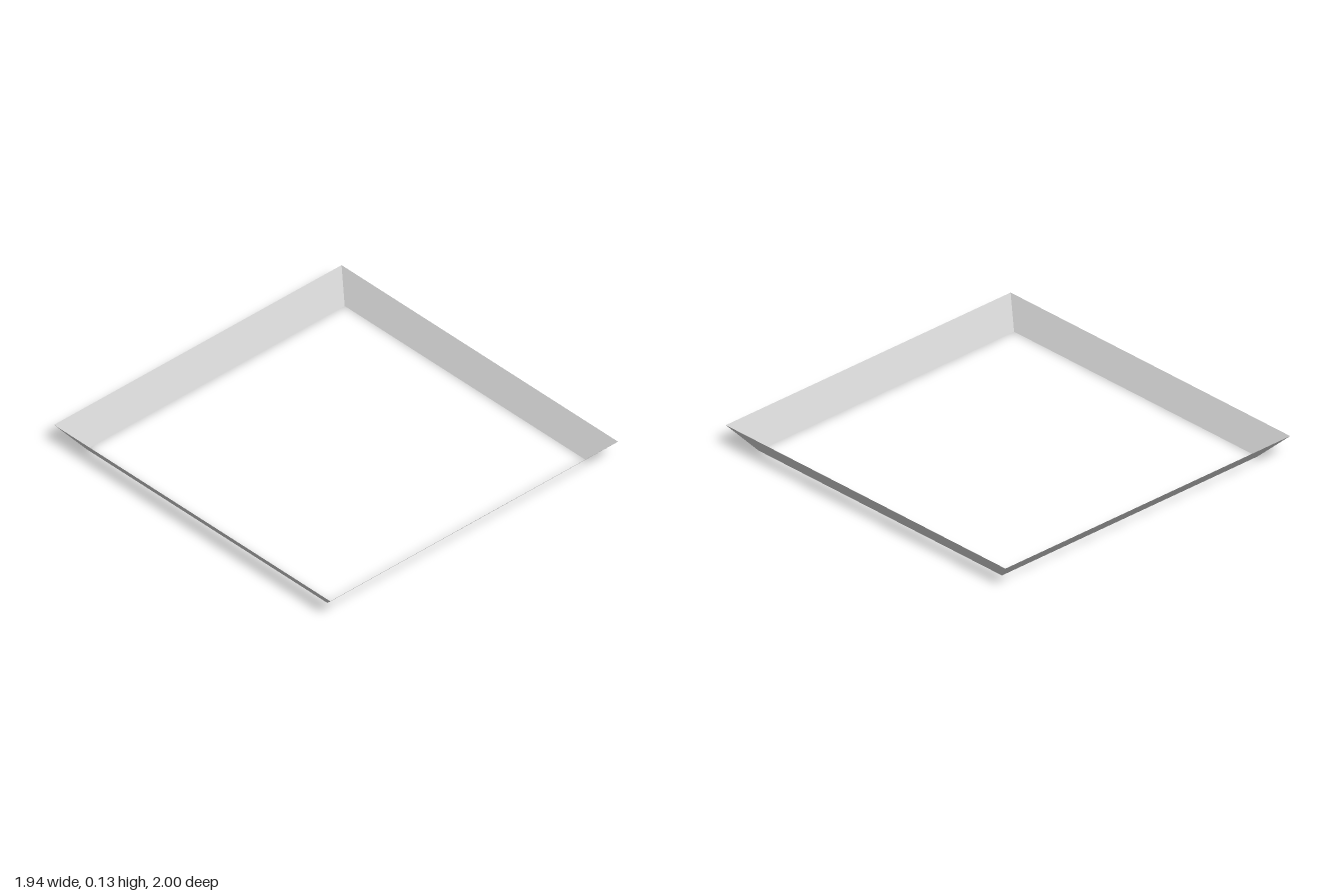
import * as THREE from 'three';

const HEIGHT = 0.13;
const TOP = { x: 0.97, z: 1 };        // half sizes of the upper rim
const BOTTOM = { x: 0.87, z: 0.87 };  // half sizes of the lower rim

// Open four-sided ring whose corners are moved out to the two rims
function slopedRing() {
  const ring = new THREE.CylinderGeometry(1, 1, HEIGHT, 4, 1, true, Math.PI / 4);
  ring.translate(0, HEIGHT / 2, 0);
  const geometry = ring.toNonIndexed();
  const p = geometry.attributes.position;
  for (let i = 0; i < p.count; i++) {
    const rim = p.getY(i) > HEIGHT / 2 ? TOP : BOTTOM;
    p.setX(i, Math.sign(p.getX(i)) * rim.x);
    p.setZ(i, Math.sign(p.getZ(i)) * rim.z);
  }
  geometry.computeVertexNormals();
  return geometry;
}

export function createModel() {
  const group = new THREE.Group();
  group.name = 'slopedFrame';

  // Thin walls leaning outwards, open above and below
  const walls = new THREE.Mesh(
    slopedRing(),
    new THREE.MeshStandardMaterial({ color: 0xcccccc, flatShading: true, side: THREE.DoubleSide })
  );
  walls.name = 'frameWalls';
  group.add(walls);
  return group;
}
